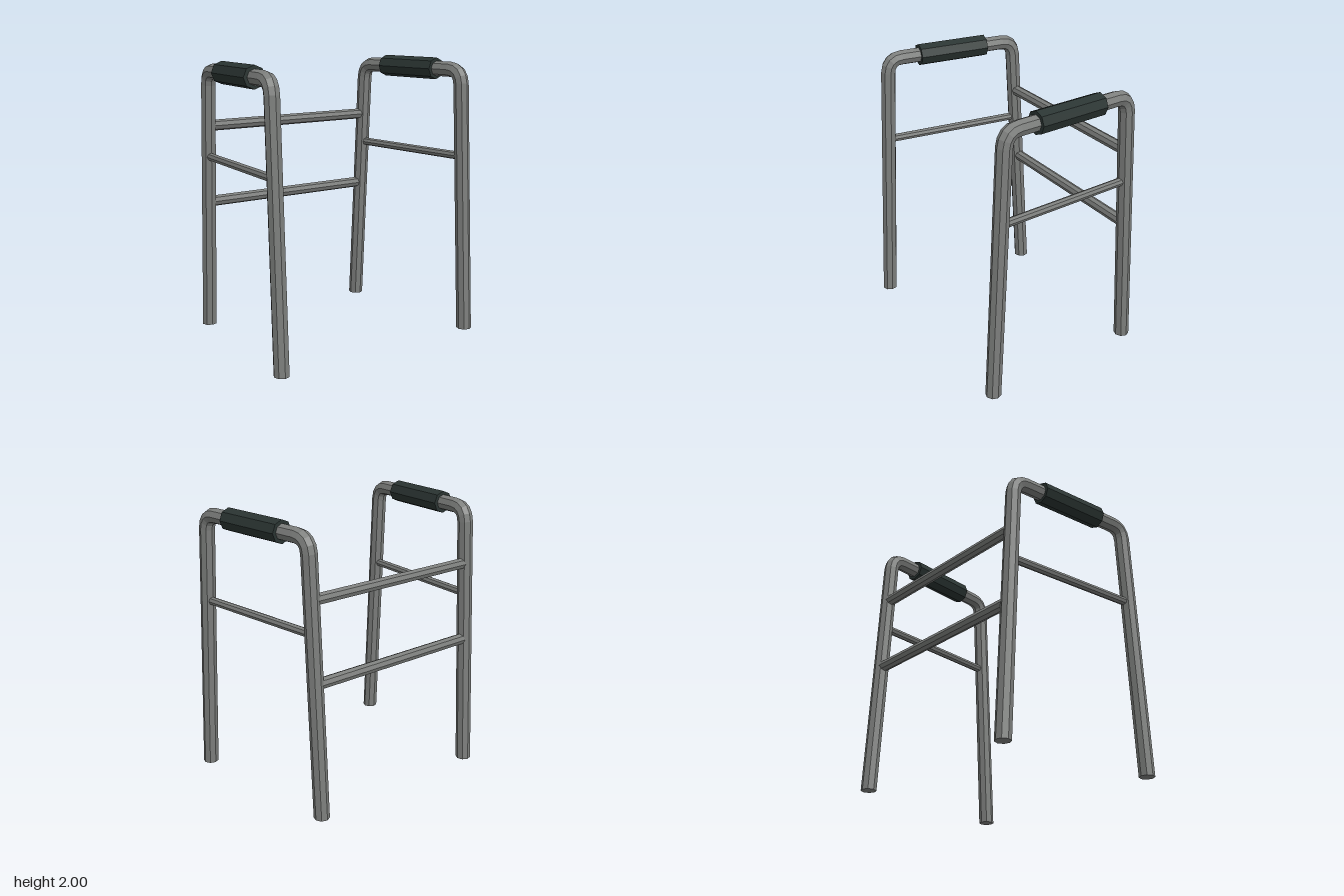
import * as THREE from 'three';

const SIDES = 8;
const steel = new THREE.MeshStandardMaterial({ color: 0x7c7e7c });
steel.name = 'grey steel';
const rubber = new THREE.MeshStandardMaterial({ color: 0x2a3432 });
rubber.name = 'dark rubber';

// Give every face its own flat normal
function faceted(geometry) {
  const flat = geometry.toNonIndexed();
  flat.computeVertexNormals();
  return flat;
}

// Straight faceted rod between two points
function rod(name, from, to, radius, material) {
  const a = new THREE.Vector3(...from);
  const b = new THREE.Vector3(...to);
  const geometry = new THREE.CylinderGeometry(radius, radius, a.distanceTo(b), SIDES);
  const mesh = new THREE.Mesh(faceted(geometry), material);
  mesh.name = name;
  mesh.position.copy(a).add(b).multiplyScalar(0.5);
  mesh.quaternion.setFromUnitVectors(new THREE.Vector3(0, 1, 0), b.sub(a).normalize());
  return mesh;
}

// Sweep a faceted ring along a path in the yz plane; both ends are cut level with the floor
function bentTube(path, radius) {
  const positions = [];
  const index = [];
  const last = path.length - 1;
  path.forEach((p, i) => {
    const t = new THREE.Vector3(0, i === 0 ? 1 : -1, 0);
    if (i > 0 && i < last) {
      t.copy(p).sub(path[i - 1]).normalize();
      t.add(path[i + 1].clone().sub(p).normalize()).normalize();
    }
    for (let j = 0; j < SIDES; j++) {
      const angle = (j / SIDES) * Math.PI * 2;
      const s = radius * Math.sin(angle);
      positions.push(p.x + radius * Math.cos(angle), p.y + s * t.z, p.z - s * t.y);
    }
  });
  for (let i = 0; i < last; i++) {
    for (let j = 0; j < SIDES; j++) {
      const a = i * SIDES + j;
      const b = i * SIDES + ((j + 1) % SIDES);
      index.push(a, b, a + SIDES, b, b + SIDES, a + SIDES);
    }
  }
  // End caps
  const end = last * SIDES;
  for (let j = 1; j < SIDES - 1; j++) {
    index.push(0, j + 1, j, end, end + j, end + j + 1);
  }
  const geometry = new THREE.BufferGeometry();
  geometry.setAttribute('position', new THREE.Float32BufferAttribute(positions, 3));
  geometry.setIndex(index);
  return faceted(geometry);
}

const FOOT_Z = 0.603;
const TOP_Z = 0.505;
const TOP_Y = 1.921;
const legZ = (y) => FOOT_Z + (TOP_Z - FOOT_Z) * (y / TOP_Y);

// Centre line: up the front leg, over the top, down the back leg
function framePath() {
  const bendStart = TOP_Y - 0.1;
  const bend = new THREE.QuadraticBezierCurve3(
    new THREE.Vector3(0, bendStart, legZ(bendStart)),
    new THREE.Vector3(0, TOP_Y, TOP_Z - 0.004),
    new THREE.Vector3(0, TOP_Y, TOP_Z - 0.1)
  );
  const front = [new THREE.Vector3(0, 0, FOOT_Z), ...bend.getPoints(4)];
  const back = front.map((p) => new THREE.Vector3(0, p.y, -p.z)).reverse();
  return [...front, ...back];
}

// One side: bent leg frame, hand grip and lower brace
function sideFrame(name, side) {
  const group = new THREE.Group();
  group.name = name;
  const tube = new THREE.Mesh(bentTube(framePath(), 0.055), steel);
  tube.name = 'legFrame';
  const braceY = 1.297;
  const braceZ = legZ(braceY);
  group.add(
    tube,
    rod('handGrip', [0, TOP_Y, -0.265], [0, TOP_Y, 0.265], 0.08, rubber),
    rod('sideBrace', [0, braceY, -braceZ], [0, braceY, braceZ], 0.03, steel)
  );
  group.position.x = side * 0.755;
  group.rotation.y = side * 0.095;
  return group;
}

export function createModel() {
  const model = new THREE.Group();
  model.name = 'walkingFrame';
  model.add(sideFrame('leftSide', 1), sideFrame('rightSide', -1));

  // Cross bars joining the two back legs
  for (const [name, y] of [['upperCrossBar', 1.523], ['lowerCrossBar', 0.957]]) {
    const z = -legZ(y);
    model.add(rod(name, [-0.7, y, z], [0.7, y, z], 0.04, steel));
  }
  return model;
}
